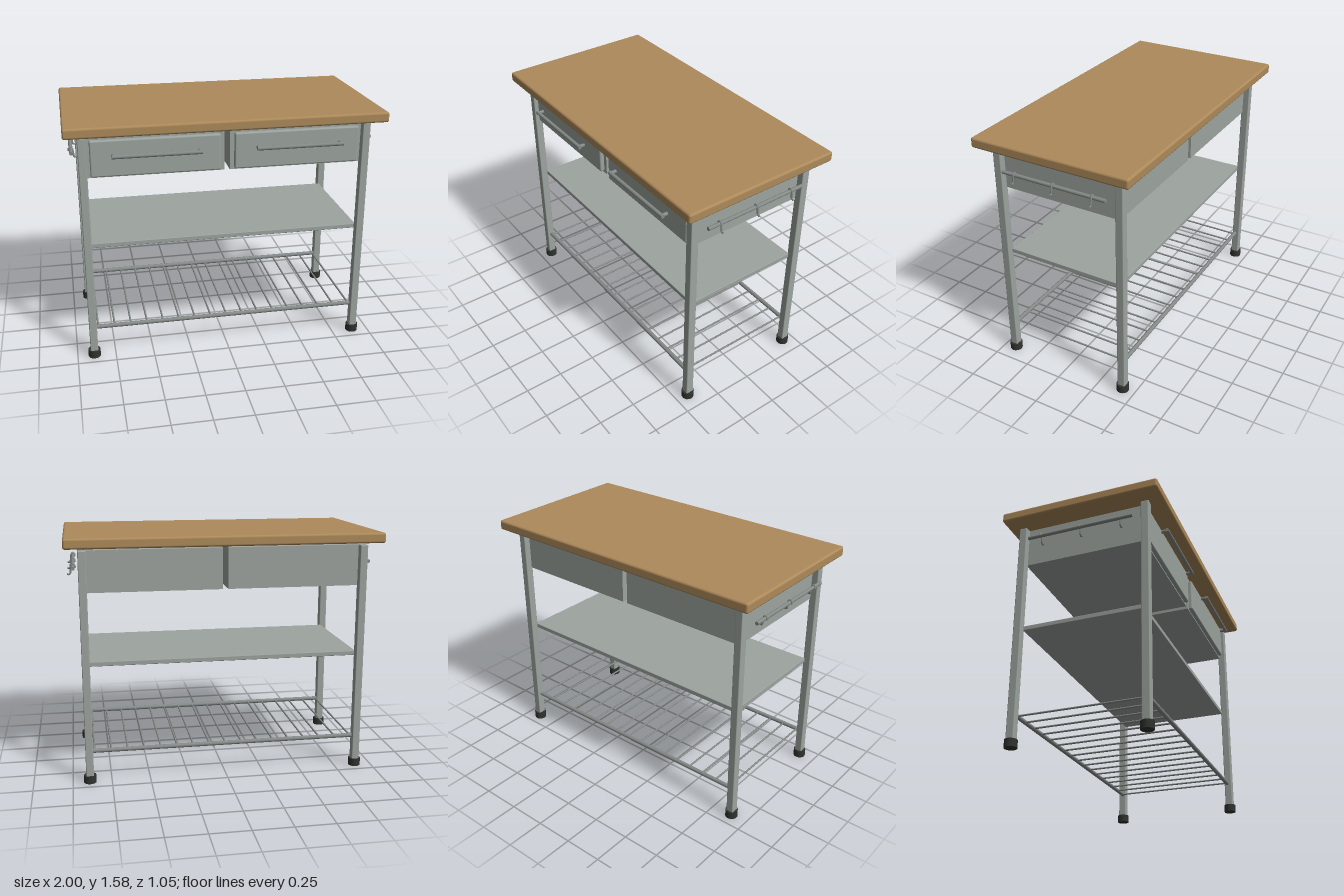
import * as THREE from 'three';
import { RoundedBoxGeometry } from 'three/addons/geometries/RoundedBoxGeometry.js';

const material = (name, color) => {
  const m = new THREE.MeshStandardMaterial({ color });
  m.name = name;
  return m;
};

export function createModel() {
  const model = new THREE.Group();
  model.name = 'kitchenIsland';
  const wood = material('wood', 0xad8a5a);
  const paint = material('greyPaint', 0x9da49f);
  const metal = material('metal', 0x858b88);
  const rubber = material('blackRubber', 0x30332f);

  const add = (name, geometry, mat, x, y, z, parent = model) => {
    const mesh = new THREE.Mesh(geometry, mat);
    mesh.name = name;
    mesh.position.set(x, y, z);
    parent.add(mesh);
    return mesh;
  };
  const rounded = (w, h, d, r) => new RoundedBoxGeometry(w, h, d, 3, r);
  const rod = (r, length, axis) => {
    const g = new THREE.CylinderGeometry(r, r, length, 12);
    return axis === 'x' ? g.rotateZ(Math.PI / 2) : g.rotateX(Math.PI / 2);
  };

  // Worktop
  add('worktop', rounded(2, 0.065, 1.055, 0.014), wood, 0, 1.552, 0);

  // Four legs on round feet
  for (const x of [-0.89, 0.89]) {
    for (const z of [-0.417, 0.417]) {
      add('leg', rounded(0.05, 1.46, 0.052, 0.006), paint, x, 0.77, z);
      add('foot', new THREE.CylinderGeometry(0.04, 0.04, 0.05, 16), rubber, x, 0.025, z);
    }
  }

  // Two drawers with raised fronts and bar handles
  for (const side of [-1, 1]) {
    const drawer = new THREE.Group();
    drawer.name = side > 0 ? 'leftDrawer' : 'rightDrawer';
    drawer.position.x = side * 0.445;
    model.add(drawer);
    add('drawerBox', new THREE.BoxGeometry(0.855, 0.263, 0.8), paint, 0, 1.367, 0, drawer);
    add('drawerFront', rounded(0.8, 0.23, 0.05, 0.01), paint, 0, 1.36, 0.402, drawer);
    add('handleBar', rod(0.0125, 0.55, 'x'), metal, 0, 1.391, 0.496, drawer);
    for (const end of [-1, 1]) {
      add('handlePost', rod(0.0115, 0.04, 'z'), metal, end * 0.262, 1.391, 0.478, drawer);
    }
  }

  // Side towel rails, each with three hanging hooks
  const hookPath = new THREE.CatmullRomCurve3([
    [-0.014, -0.008], [-0.01, 0.01], [0.003, 0.014], [0.011, 0.002],
    [0.014, -0.02], [0.018, -0.042], [0.025, -0.048], [0.037, -0.045],
  ].map(([x, y]) => new THREE.Vector3(x, y, 0)));
  const hookGeometry = new THREE.TubeGeometry(hookPath, 24, 0.006, 8);
  for (const x of [-0.952, 0.945]) {
    add('sideRail', rod(0.012, 0.705, 'z'), metal, x, 1.382, 0);
    for (const z of [-0.265, 0, 0.268]) add('hook', hookGeometry, metal, x, 1.382, z);
  }

  // Solid middle shelf
  add('middleShelf', rounded(1.75, 0.03, 0.79, 0.004), paint, 0, 0.78, 0);

  // Slatted lower rack
  for (const z of [-0.41, 0.41]) add('rackRail', rod(0.014, 1.74, 'x'), metal, 0, 0.21, z);
  const slats = 17;
  for (let i = 0; i < slats; i++) {
    add('rackSlat', rod(0.006, 0.82, 'z'), metal, -0.855 + (1.71 * i) / (slats - 1), 0.209, 0);
  }

  return model;
}
